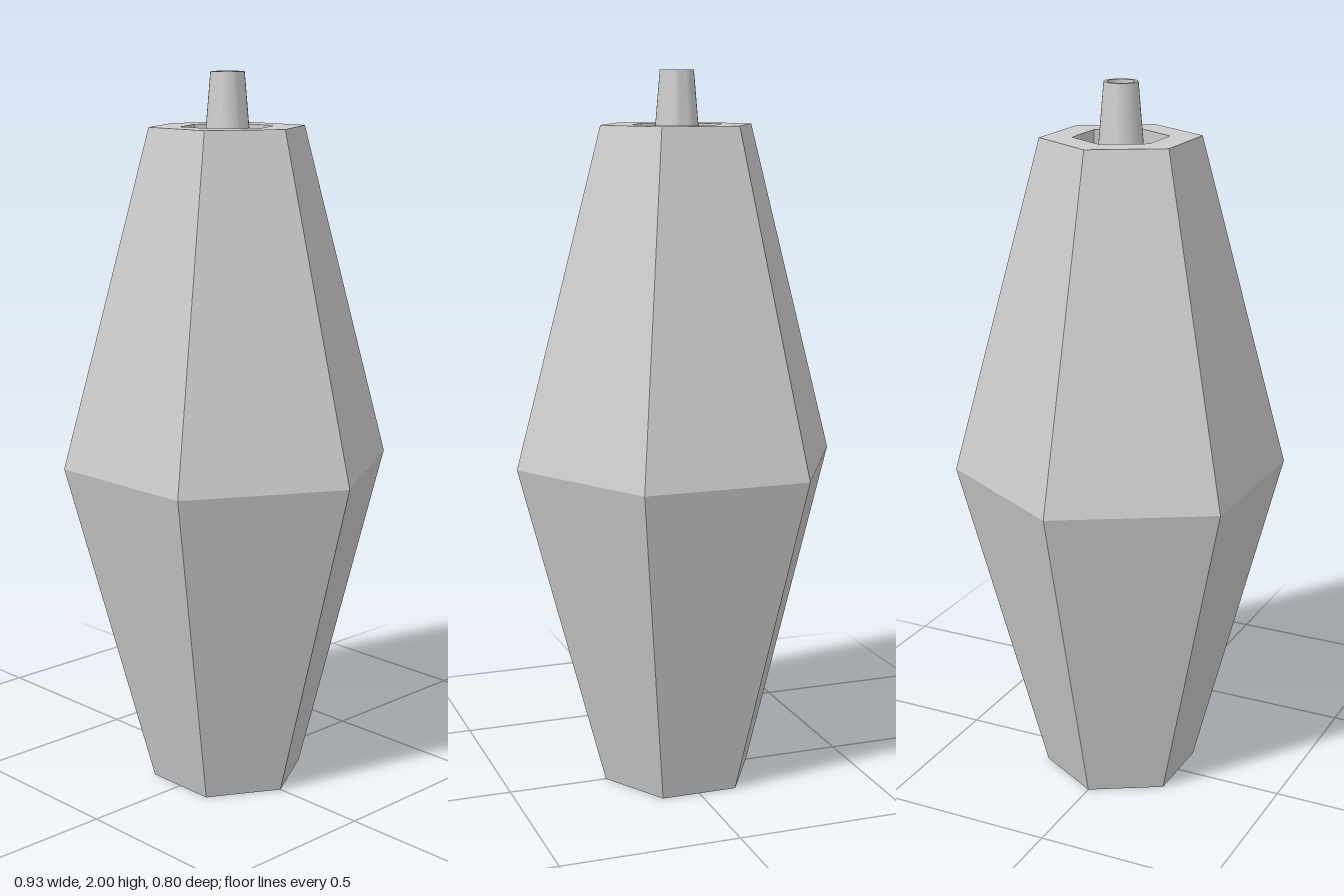
import * as THREE from 'three';
import { toCreasedNormals } from 'three/addons/utils/BufferGeometryUtils.js';

// Revolve a profile of [radius, y] points; an upward run faces outward
function turned(name, profile, sides, crease, material) {
  const points = profile.map(([r, y]) => new THREE.Vector2(r, y));
  const geometry = toCreasedNormals(new THREE.LatheGeometry(points, sides), crease);
  const mesh = new THREE.Mesh(geometry, material);
  mesh.name = name;
  return mesh;
}

export function createModel() {
  const group = new THREE.Group();
  group.name = 'pendantLamp';
  const grey = new THREE.MeshStandardMaterial({ color: 0xcccccc });
  const faceted = new THREE.MeshStandardMaterial({ color: 0xcccccc, flatShading: true });

  // Hollow six-sided shade, open below, with a six-sided hole in its lid
  const shade = turned('shade', [
    [0.185, 0], [0.217, 0], [0.463, 0.93], [0.217, 1.855], [0.13, 1.855],
    [0.13, 1.81], [0.195, 1.81], [0.43, 0.93], [0.185, 0],
  ], 6, 0.1, faceted);
  shade.rotation.y = Math.PI / 6;
  group.add(shade);

  // Inner tube with a shoulder, a tapered neck and a blind cord hole on top
  group.add(turned('lampHolder', [
    [0, 1.2], [0.13, 1.2], [0.13, 0.14], [0.154, 0.14], [0.154, 1.25],
    [0.11, 1.25], [0.046, 2], [0.037, 2], [0.037, 1.9], [0, 1.9],
  ], 32, 0.6, grey));

  return group;
}
